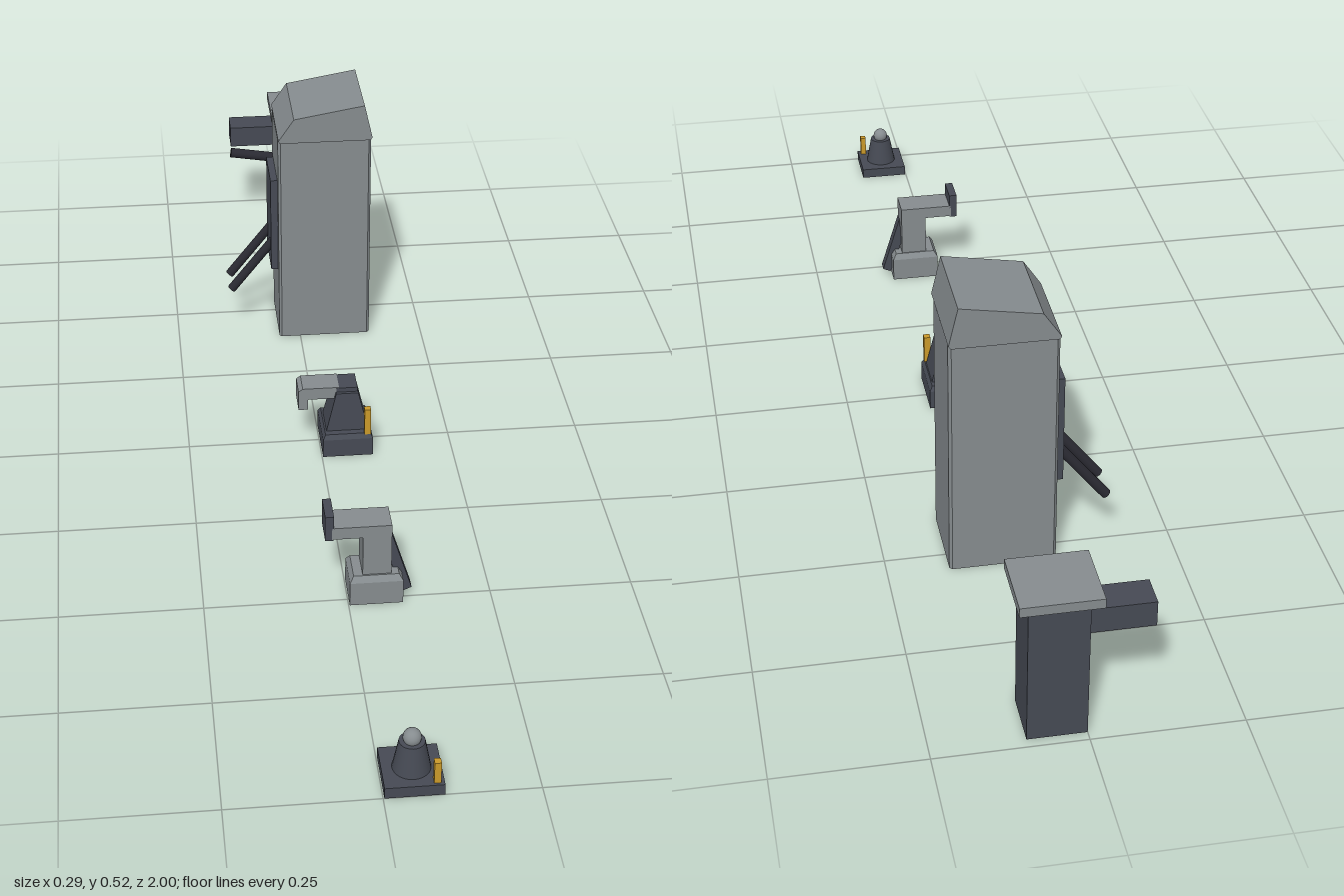
import * as THREE from 'three';

const mat = (name, color) => new THREE.MeshStandardMaterial({ name, color });

export function createModel() {
  const grey = mat('lightGrey', 0x868c8f);
  const dark = mat('darkGrey', 0x464a54);
  const black = mat('nearBlack', 0x2a2a32);
  const yellow = mat('yellow', 0xcb9a2a);
  const model = new THREE.Group();

  const add = (group, name, geometry, material) => {
    const mesh = new THREE.Mesh(geometry, material);
    mesh.name = name;
    group.add(mesh);
    return mesh;
  };
  const station = (name) => {
    const group = new THREE.Group();
    group.name = name;
    model.add(group);
    return group;
  };
  // Box between two corners; the top face can be drawn in along x and z.
  const box = (group, name, material, [x0, x1], [y0, y1], [z0, z1], inX = 0, inZ = 0) => {
    const g = new THREE.BoxGeometry(x1 - x0, y1 - y0, z1 - z0);
    const p = g.attributes.position;
    for (let i = 0; i < p.count; i++) {
      if (p.getY(i) < 0) continue;
      p.setX(i, p.getX(i) - Math.sign(p.getX(i)) * inX);
      p.setZ(i, p.getZ(i) - Math.sign(p.getZ(i)) * inZ);
    }
    g.computeVertexNormals();
    g.translate((x0 + x1) / 2, (y0 + y1) / 2, (z0 + z1) / 2);
    return add(group, name, g, material);
  };
  // Side profile in x and y, extruded along z.
  const profile = (group, name, material, points, z0, z1) => {
    const shape = new THREE.Shape(points.map(([x, y]) => new THREE.Vector2(x, y)));
    const g = new THREE.ExtrudeGeometry(shape, { depth: z1 - z0, bevelEnabled: false });
    g.translate(0, 0, z0);
    return add(group, name, g, material);
  };
  // Round rod between two points.
  const rod = (group, name, material, from, to, radius) => {
    const a = new THREE.Vector3(...from), b = new THREE.Vector3(...to);
    const dir = b.clone().sub(a);
    const mesh = add(group, name, new THREE.CylinderGeometry(radius, radius, dir.length(), 16), material);
    mesh.position.copy(a).add(b).multiplyScalar(0.5);
    mesh.quaternion.setFromUnitVectors(new THREE.Vector3(0, 1, 0), dir.normalize());
  };

  // Small pedestal with a cone and ball
  const ball = station('ballPedestal');
  box(ball, 'base', dark, [0.002, 0.097], [0, 0.02], [0.905, 1]);
  add(ball, 'cone', new THREE.CylinderGeometry(0.021, 0.031, 0.053, 24), dark).position.set(0.05, 0.0465, 0.953);
  add(ball, 'ball', new THREE.SphereGeometry(0.015, 20, 14), grey).position.set(0.05, 0.08, 0.953);
  box(ball, 'marker', yellow, [0.08, 0.091], [0.02, 0.06], [0.983, 0.995]);

  // Post with a bracket arm and a leaning lever
  const post = station('bracketPost');
  box(post, 'base', grey, [0.002, 0.095], [0, 0.046], [0.443, 0.517]);
  box(post, 'baseBevel', grey, [0.002, 0.095], [0.046, 0.057], [0.443, 0.517], 0.007, 0.007);
  profile(post, 'columnAndArm', grey,
    [[0.025, 0.05], [0.075, 0.05], [0.075, 0.158], [-0.028, 0.158], [-0.028, 0.135], [0.025, 0.135]], 0.452, 0.507);
  box(post, 'endPlate', dark, [-0.04, -0.025], [0.133, 0.182], [0.452, 0.507]);
  profile(post, 'lever', dark, [[0.077, 0.128], [0.073, 0.075], [0.098, 0.005], [0.113, 0.012]], 0.47, 0.491);

  // Tapered housing with a hooked arm
  const hook = station('hookHousing');
  box(hook, 'base', dark, [0.002, 0.097], [0, 0.037], [-0.048, 0.06]);
  box(hook, 'baseBevel', dark, [0.002, 0.097], [0.037, 0.046], [-0.048, 0.06], 0.005, 0.006);
  box(hook, 'housing', dark, [0.01, 0.09], [0.046, 0.126], [-0.028, 0.041], 0.019, 0.004);
  box(hook, 'housingCap', dark, [0.03, 0.07], [0.124, 0.135], [-0.018, 0.031]);
  profile(hook, 'hookArm', grey,
    [[-0.042, 0.09], [-0.024, 0.09], [-0.024, 0.112], [0.035, 0.112], [0.035, 0.136], [-0.034, 0.136], [-0.042, 0.13]],
    -0.019, 0.03);
  box(hook, 'marker', yellow, [0.081, 0.093], [0.045, 0.1], [0.045, 0.058]);

  // Tall cabinet with a sloped roof, side panel and two prongs
  const tall = station('tallCabinet');
  const c = 0.005, x0 = -0.043, x1 = 0.143, z0 = -0.543, z1 = -0.39;
  const plan = [[x0 + c, z0], [x1 - c, z0], [x1, z0 + c], [x1, z1 - c], [x1 - c, z1], [x0 + c, z1], [x0, z1 - c], [x0, z0 + c]];
  const body = new THREE.ExtrudeGeometry(
    new THREE.Shape(plan.map(([x, z]) => new THREE.Vector2(x, -z))), { depth: 0.45, bevelEnabled: false });
  body.rotateX(-Math.PI / 2);
  add(tall, 'body', body, grey);
  profile(tall, 'roof', grey,
    [[-0.043, 0.454], [-0.04, 0.449], [0.14, 0.449], [0.144, 0.454], [0.128, 0.524], [-0.012, 0.5]], -0.551, -0.379);
  box(tall, 'sidePanel', dark, [-0.057, -0.042], [0.148, 0.351], [-0.52, -0.413]);
  for (const z of [-0.5, -0.437]) rod(tall, 'prong', black, [-0.048, 0.207, z], [-0.138, 0.093, z], 0.009);

  // Square pillar with a flat cap, side arm and rod
  const pillar = station('cappedPillar');
  box(pillar, 'column', dark, [0, 0.097], [0, 0.256], [-0.983, -0.891]);
  box(pillar, 'cap', grey, [-0.018, 0.114], [0.255, 0.272], [-1, -0.878]);
  box(pillar, 'arm', dark, [-0.107, 0.01], [0.184, 0.229], [-0.968, -0.912]);
  rod(pillar, 'armRod', black, [-0.108, 0.175, -0.9], [0.04, 0.152, -0.897], 0.0105);

  return model;
}
